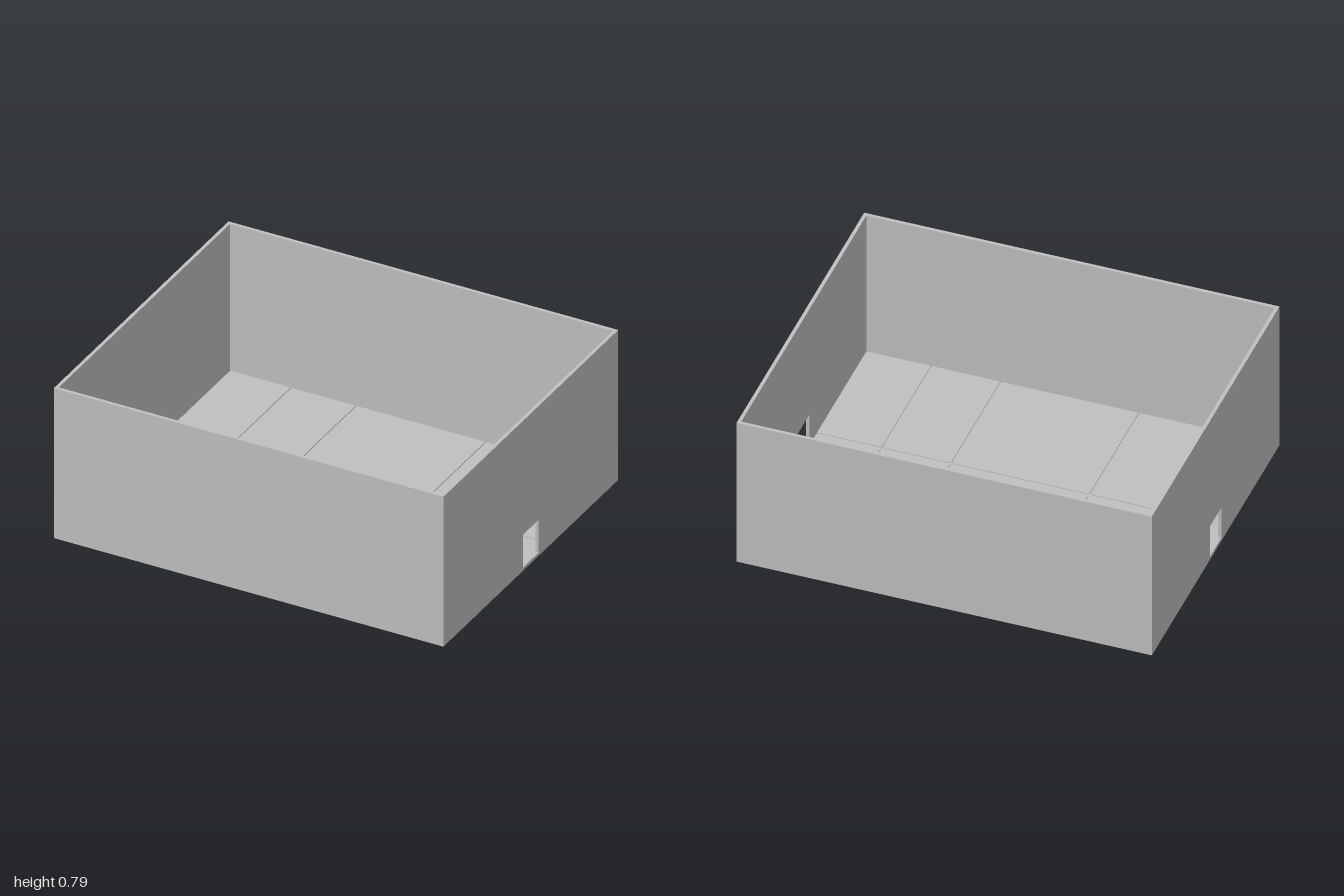
import * as THREE from 'three';

const HALF_X = 1, HALF_Z = 0.83, HEIGHT = 0.79, WALL = 0.017;
const FLOOR = 0.017, GROOVE = 0.01, DEPTH = 0.005;

export function createModel() {
  const model = new THREE.Group();
  model.name = 'openBuilding';
  const grey = new THREE.MeshStandardMaterial({ color: 0xbfbfbf });
  grey.name = 'plain grey';

  const add = (name, geometry, x, y, z, parent = model) => {
    const mesh = new THREE.Mesh(geometry, grey);
    mesh.name = name;
    mesh.position.set(x, y, z);
    parent.add(mesh);
    return mesh;
  };
  const box = (name, w, h, d, x, y, z, parent) =>
    add(name, new THREE.BoxGeometry(w, h, d), x, y, z, parent);

  // Long solid walls at front and back
  const innerX = HALF_X - WALL, innerZ = HALF_Z - WALL;
  for (const s of [1, -1]) {
    box(s > 0 ? 'frontWall' : 'backWall', innerX * 2, HEIGHT, WALL,
      0, HEIGHT / 2, s * (HALF_Z - WALL / 2));
  }

  // End walls, each with a doorway
  const end = new THREE.Shape([
    new THREE.Vector2(-HALF_Z, 0), new THREE.Vector2(HALF_Z, 0),
    new THREE.Vector2(HALF_Z, HEIGHT), new THREE.Vector2(-HALF_Z, HEIGHT),
  ]);
  end.holes.push(new THREE.Path([
    new THREE.Vector2(-0.075, FLOOR), new THREE.Vector2(-0.075, 0.19),
    new THREE.Vector2(0.075, 0.19), new THREE.Vector2(0.075, FLOOR),
  ]));
  const endGeometry = new THREE.ExtrudeGeometry(end, { depth: WALL, bevelEnabled: false });
  endGeometry.rotateY(Math.PI / 2);
  add('leftEndWall', endGeometry, innerX, 0, 0);
  add('rightEndWall', endGeometry, -HALF_X, 0, 0);

  // Floor base, then raised panels that leave narrow grooves between them
  const floor = new THREE.Group();
  floor.name = 'floor';
  model.add(floor);
  const base = FLOOR - DEPTH, panelY = FLOOR - DEPTH / 2;
  box('floorBase', innerX * 2, base, innerZ * 2, 0, base / 2, 0, floor);

  const xLines = [-0.667, -0.333, 0.333, 0.667], zLines = [-0.167, 0.167];
  const spans = (lines, half) => [...lines, half].map((stop, i) => [
    i ? lines[i - 1] + GROOVE / 2 : -half,
    i < lines.length ? stop - GROOVE / 2 : half,
  ]);
  for (const [x0, x1] of spans(xLines, innerX)) {
    for (const [z0, z1] of spans(zLines, innerZ)) {
      box('floorPanel', x1 - x0, DEPTH, z1 - z0, (x0 + x1) / 2, panelY, (z0 + z1) / 2, floor);
    }
  }

  // Tiny bridges where the grooves are interrupted
  for (const x of xLines) {
    for (const z of [-0.5, 0.5]) box('grooveBridge', GROOVE, DEPTH, 0.005, x, panelY, z, floor);
  }
  for (const z of zLines) box('grooveBridge', 0.005, DEPTH, GROOVE, 0, panelY, z, floor);

  return model;
}
